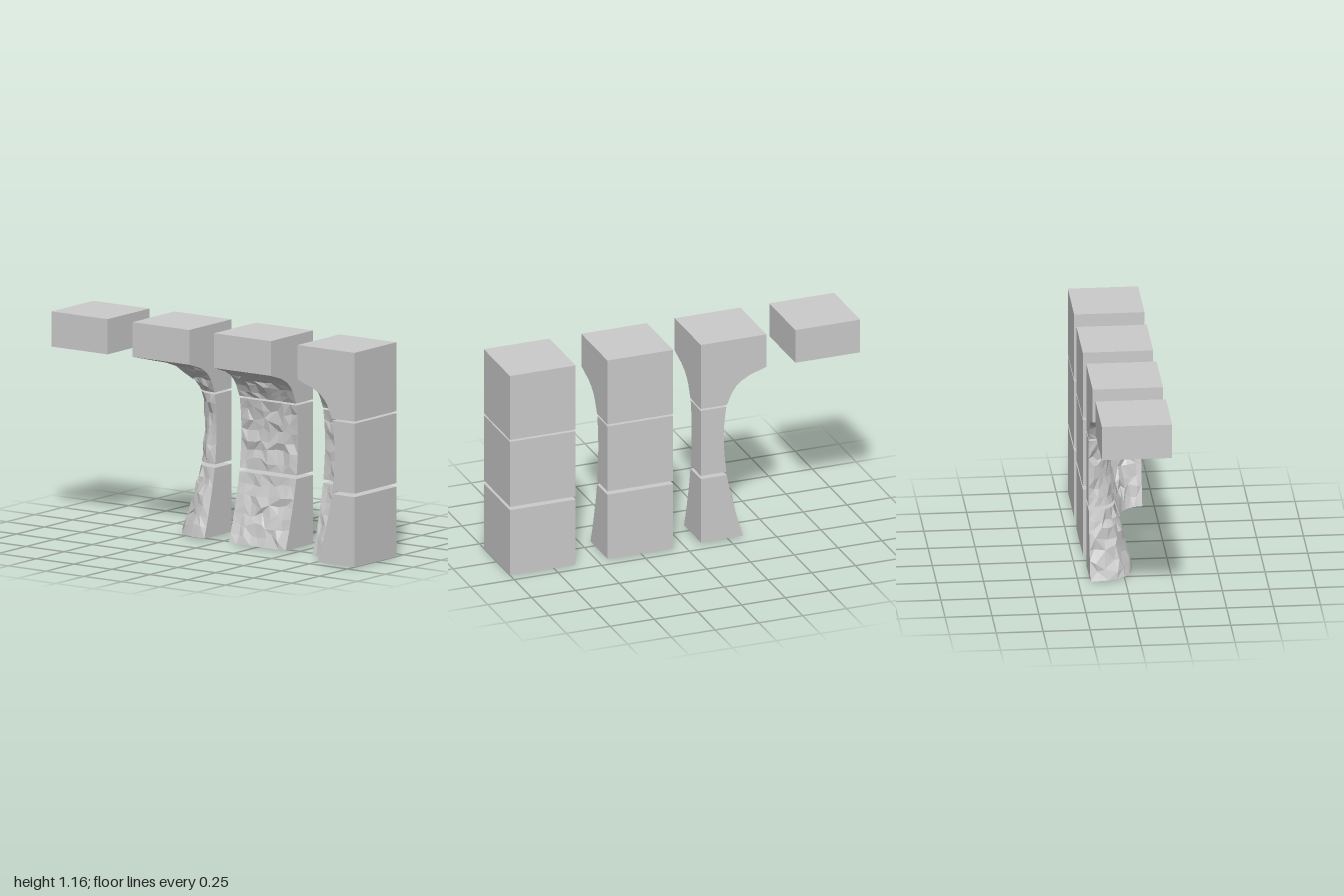
import * as THREE from 'three';

const W = 0.375;      // block width and depth
const COLS = 8;       // rock facets across a block
const LEDGE = 0.97;   // height where the overhang becomes a full block
const material = new THREE.MeshStandardMaterial({ color: 0xcccccc, flatShading: true });

// Rock thickness by height: [y, depth from the flat back]
const PROFILE = [[0, 0.245], [0.1, 0.213], [0.2, 0.187], [0.3, 0.163], [0.39, 0.146], [0.5, 0.135], [0.6, 0.13],
  [0.7, 0.135], [0.78, 0.147], [0.85, 0.177], [0.9, 0.212], [0.935, 0.27], [LEDGE, W]];

function depthAt(y) {
  for (let i = 1; i < PROFILE.length; i++) {
    const [y0, d0] = PROFILE[i - 1], [y1, d1] = PROFILE[i];
    if (y <= y1) return d0 + (d1 - d0) * (y - y0) / (y1 - y0);
  }
  return W;
}

// Seeded noise in -1..1
function makeNoise(seed) {
  let s = seed;
  return () => {
    s = (s * 16807) % 2147483647;
    return s / 1073741823.5 - 1;
  };
}

// Plan shapes: u runs from the right side to the left, v from the back to the front.
// rock(t, d, y) follows the rough face; back lists the flat corners that close the outline.
const PLANS = {
  outerCorner: {
    rock(t, d, y) {
      const c = Math.cos(t * Math.PI / 2), s = Math.sin(t * Math.PI / 2);
      const round = Math.pow(Math.pow(c, 2.7) + Math.pow(s, 2.7), -1 / 2.7);
      const k = THREE.MathUtils.smoothstep(y, 0.78, LEDGE);
      const scale = d * THREE.MathUtils.lerp(round, 1 / Math.max(c, s), k);
      return [c * scale, s * scale];
    },
    back: [[0, 0]],
  },
  straight: {
    rock: (t, d) => [W * (1 - t), d],
    back: [[0, 0], [W, 0]],
  },
  innerCorner: {
    rock(t, d) {
      const r = Math.max(0, W - d), a = t * Math.PI / 2;
      return [W - r * Math.sin(a), W - r * Math.cos(a)];
    },
    back: [[0, W], [0, 0], [W, 0]],
  },
};

// Loft a block through the given heights, roughening the inside of the rock face
function rockBlock(plan, heights, seed) {
  const noise = makeNoise(seed);
  for (let i = 0; i < 10; i++) noise();
  const last = heights.length - 1;
  const rings = heights.map((h, j) => {
    const ring = [];
    const step = j > 0 ? h - heights[j - 1] : 0;
    for (let i = 0; i <= COLS; i++) {
      const rough = i > 0 && i < COLS && j > 0 && j < last && h < LEDGE ? 1 : 0;
      const t = (i + rough * 0.33 * noise()) / COLS;
      const y = h + rough * 0.3 * step * noise();
      const [u, v] = plan.rock(t, depthAt(y) + rough * 0.011 * noise(), y);
      ring.push([-u, y, v]);
    }
    plan.back.forEach(([u, v]) => ring.push([-u, h, v]));
    return ring;
  });

  const pos = [];
  const tri = (a, b, c) => pos.push(...a, ...b, ...c);
  const n = rings[0].length;
  for (let j = 0; j < last; j++) {
    for (let i = 0; i < n; i++) {
      const k = (i + 1) % n;
      const a = rings[j][i], b = rings[j][k], c = rings[j + 1][k], d = rings[j + 1][i];
      if (noise() > 0) { tri(a, b, c); tri(a, c, d); } else { tri(a, b, d); tri(b, c, d); }
    }
  }
  // Flat bottom and top
  [[rings[0], true], [rings[last], false]].forEach(([ring, down]) => {
    const flat = ring.map(([x, , z]) => new THREE.Vector2(x, -z));
    THREE.ShapeUtils.triangulateShape(flat, []).forEach(([a, b, c]) =>
      down ? tri(ring[c], ring[b], ring[a]) : tri(ring[a], ring[b], ring[c]));
  });

  const geometry = new THREE.BufferGeometry();
  geometry.setAttribute('position', new THREE.Float32BufferAttribute(pos, 3));
  geometry.computeVertexNormals();
  return geometry;
}

const spread = (from, to, rows) =>
  Array.from({ length: rows + 1 }, (_, i) => from + (to - from) * i / rows);

// A stack of base, middle and overhanging top
function column(name, plan, right, bottom, back, seed) {
  const group = new THREE.Group();
  group.name = name;
  const parts = {
    Base: spread(bottom, 0.378, 7),
    Middle: spread(0.397, 0.775, 7),
    Top: [0.786, 0.82, 0.855, 0.885, 0.912, 0.938, LEDGE, 1.158],
  };
  Object.entries(parts).forEach(([part, heights], i) => {
    const mesh = new THREE.Mesh(rockBlock(plan, heights, seed + i * 977), material);
    mesh.name = name + part;
    group.add(mesh);
  });
  group.position.set(right, 0, back);
  return group;
}

// Ceiling slab with a rough underside
function ceilingSlab() {
  const noise = makeNoise(4242);
  const geometry = new THREE.BoxGeometry(0.37, 0.19, W, 8, 1, 8);
  const p = geometry.attributes.position;
  for (let i = 0; i < p.count; i++) {
    const inside = Math.abs(p.getX(i)) < 0.18 && Math.abs(p.getZ(i)) < 0.18;
    if (!inside || p.getY(i) > 0) continue;
    p.setXYZ(i, p.getX(i) + 0.014 * noise(), p.getY(i) + 0.005 + 0.011 * noise(), p.getZ(i) + 0.014 * noise());
  }
  const flat = geometry.toNonIndexed();
  flat.computeVertexNormals();
  const mesh = new THREE.Mesh(flat, material);
  mesh.name = 'ceilingSlab';
  mesh.position.set(-0.815, 1.06, 0);
  return mesh;
}

export function createModel() {
  const model = new THREE.Group();
  model.name = 'caveWallSet';
  model.add(
    ceilingSlab(),
    column('outerCorner', PLANS.outerCorner, -0.09, 0.01, -0.188, 1301),
    column('straightWall', PLANS.straight, 0.445, 0.005, -0.192, 5087),
    column('innerCorner', PLANS.innerCorner, 1, 0, -0.188, 9203),
  );
  return model;
}
